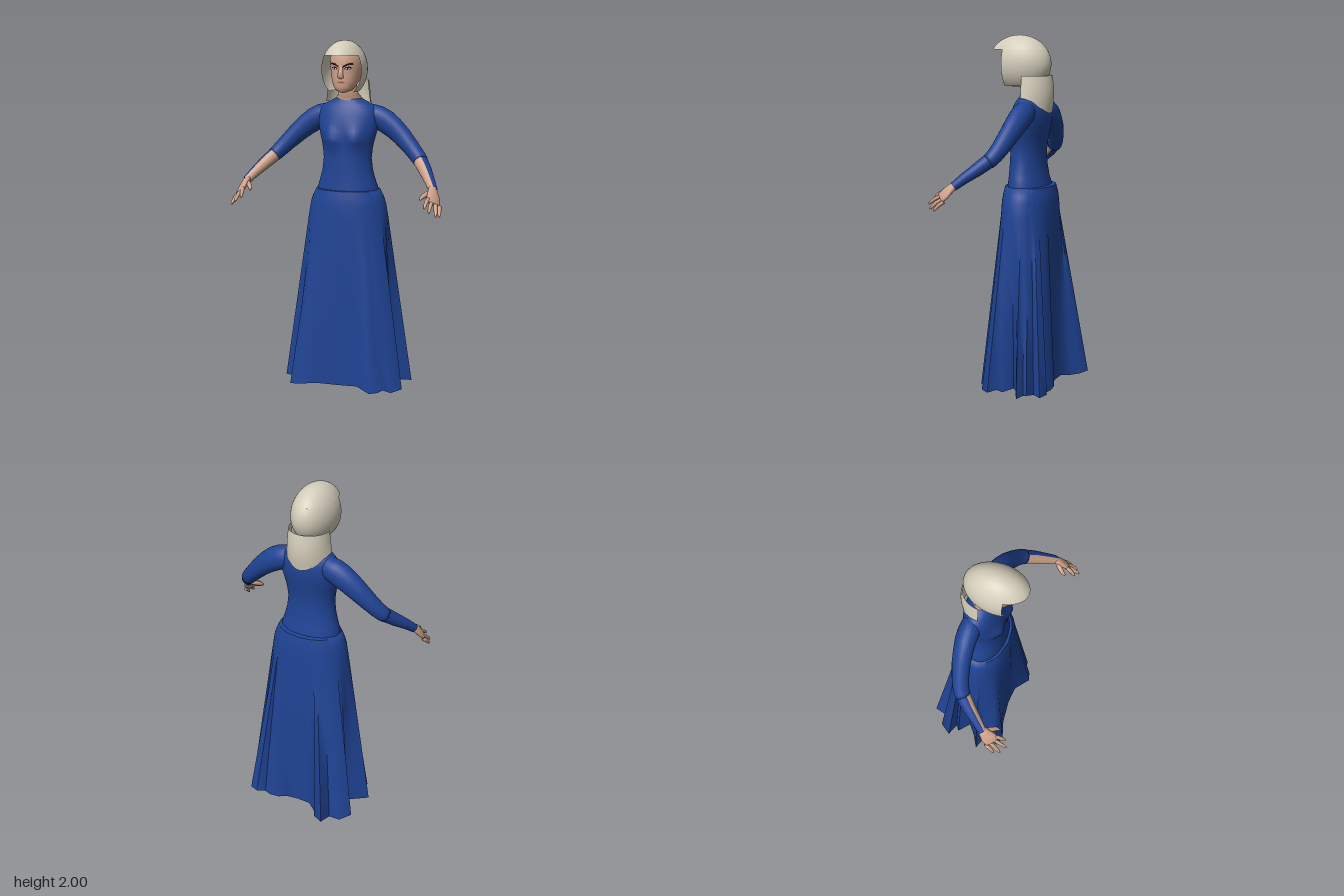
import * as THREE from 'three';
import { mergeVertices, toCreasedNormals } from 'three/addons/utils/BufferGeometryUtils.js';

const V = (x, y, z) => new THREE.Vector3(x, y, z);
const mat = (name, color, side = THREE.FrontSide) => {
  const m = new THREE.MeshStandardMaterial({ color, side });
  m.name = name;
  return m;
};
const span = (n, f) => Array.from({ length: n + 1 }, (_, i) => f(i / n));

export function createModel() {
  const root = new THREE.Group();
  root.name = 'gownedWoman';
  const blue = mat('royalBlueCloth', 0x1f4394, THREE.DoubleSide);
  const hair = mat('paleHair', 0xd3ccba, THREE.DoubleSide);
  const skin = mat('skin', 0xcfa289);
  const dark = mat('darkBrow', 0x1e1715, THREE.DoubleSide);
  const white = mat('eyeWhite', 0xd8d0c8, THREE.DoubleSide);
  const lip = mat('lips', 0x9c6656, THREE.DoubleSide);
  const brown = mat('shoeLeather', 0x3b291b);

  const add = (name, geo, material, parent = root) => {
    const m = new THREE.Mesh(geo, material);
    m.name = name;
    parent.add(m);
    return m;
  };

  // Skin a grid of points (rows of equal length) into a smooth surface
  function grid(rows, crease = 0) {
    const n = rows[0].length, index = [];
    for (let i = 0; i < rows.length - 1; i++) {
      for (let j = 0; j < n - 1; j++) {
        const a = i * n + j, b = a + 1, c = a + n, d = c + 1;
        index.push(a, b, c, b, d, c);
      }
    }
    let g = new THREE.BufferGeometry().setFromPoints(rows.flat());
    g.setIndex(index);
    g = mergeVertices(g, 1e-5);
    g.computeVertexNormals();
    return crease ? toCreasedNormals(g, crease) : g;
  }

  // Tube through [x, y, z, r, r2] stations; angle 0 faces the direction ref
  function tube(st, ref, { from = -Math.PI, to = Math.PI, seg = 16, cap = true, s = 1 } = {}) {
    const pts = st.map(p => V(p[0] * s, p[1], p[2]));
    const r = V(ref[0] * s, ref[1], ref[2]);
    const rows = pts.map((p, i) => {
      const t = pts[Math.min(i + 1, pts.length - 1)].clone().sub(pts[Math.max(i - 1, 0)]).normalize();
      const v = r.clone().addScaledVector(t, -r.dot(t)).normalize();
      const w = t.clone().cross(v);
      return span(seg, u => {
        const a = from + (to - from) * u;
        return p.clone().addScaledVector(v, Math.cos(a) * st[i][3])
          .addScaledVector(w, Math.sin(a) * (st[i][4] ?? st[i][3]));
      });
    });
    if (cap) {
      rows.unshift(rows[0].map(() => pts[0].clone()));
      rows.push(rows[0].map(() => pts[pts.length - 1].clone()));
    }
    return grid(rows);
  }

  // Upright body from [y, half width, front z, back z] rows
  function body(rows, seg = 36, warp = p => p) {
    return rows.map(([y, rx, zf, zb]) => span(seg, u => {
      const a = u * Math.PI * 2 - Math.PI;
      return warp(V(Math.sin(a) * rx, y, (zf + zb) / 2 + Math.cos(a) * (zf - zb) / 2));
    }));
  }

  // Bodice with bust
  const torso = [[1.12, .18, .08, -.15], [1.17, .178, .076, -.144], [1.21, .165, .072, -.132], [1.27, .148, .07, -.125],
    [1.34, .14, .067, -.12], [1.39, .145, .066, -.124], [1.43, .152, .066, -.13], [1.46, .16, .066, -.135],
    [1.5, .17, .064, -.143], [1.54, .176, .058, -.146], [1.58, .177, .048, -.145], [1.615, .168, .036, -.137],
    [1.64, .145, .024, -.126], [1.657, .11, .016, -.115], [1.675, .075, .008, -.105]];
  add('bodice', grid(body(torso, 48, p => {
    if (p.z > -.02) p.z += .03 * Math.exp(-(((Math.abs(p.x) - .075) / .045) ** 2) - ((p.y - 1.455) / .045) ** 2);
    return p;
  })), blue);

  // Pleated skirt: an oval waist blending into a folded hem (x, z)
  const hem = [[0, .11], [.1, .115], [.195, .18], [.24, .165], [.265, .13], [.31, .125], [.36, .065], [.31, .03], [.3, 0],
    [.23, -.04], [.28, -.075], [.37, -.12], [.32, -.14], [.325, -.165], [.265, -.18], [.315, -.24], [.26, -.26],
    [.22, -.225], [.17, -.245], [.11, -.24], [.08, -.2], [0, -.195], [-.08, -.2], [-.14, -.24], [-.165, -.285],
    [-.227, -.315], [-.24, -.235], [-.31, -.24], [-.355, -.17], [-.28, -.145], [-.31, -.12], [-.24, -.065],
    [-.29, -.02], [-.37, .03], [-.29, .06], [-.3, .15], [-.245, .168], [-.14, .13], [0, .11]];
  const skirtRow = (y, rx, rz, t) => hem.map(([x, z], j) => {
    const a = j === hem.length - 1 ? 2 * Math.PI : (Math.atan2(x / .3, (z + .045) / .2) + 2 * Math.PI) % (2 * Math.PI);
    const edge = (j % (hem.length - 1)) * 2.1;
    return V(Math.sin(a) * rx * (1 - t) + x * t, y + t * .007 * Math.sin(edge),
      (-.04 + Math.cos(a) * rz) * (1 - t) + z * t);
  });
  const skirt = [.018, .25, .5, .75].map(y => skirtRow(y, .236, .15, 1 - y));
  // Upper rows, the last one closing the waistband onto the bodice
  for (const [y, rx, rz] of [[1, .236, .15], [1.08, .222, .147], [1.12, .208, .142], [1.16, .188, .134], [1.163, .165, .1]]) {
    skirt.push(skirtRow(y, rx, rz, 0));
  }
  add('skirt', grid(skirt, 1.1), blue);

  // Head and neck
  const headRows = [[1.713, .014, .075, .04], [1.724, .042, .09, -.01], [1.745, .062, .096, -.05], [1.775, .075, .097, -.08],
    [1.81, .083, .096, -.1], [1.85, .089, .094, -.11], [1.9, .091, .097, -.11], [1.94, .07, .075, -.08], [1.965, .02, .02, -.02]];
  add('head', grid(body(headRows)), skin);
  add('neck', tube([[0, 1.63, -.05, .07], [0, 1.672, -.047, .06, .079], [0, 1.7, -.037, .052, .056], [0, 1.77, -.01, .052]], [0, 0, 1]), skin);
  add('nose', tube([[0, 1.868, .088, .006, .009], [0, 1.83, .1, .01, .013], [0, 1.807, .107, .013, .018], [0, 1.796, .096, .008, .015]],
    [0, 0, 1], { seg: 12 }), skin);

  // Thin face details laid on the curve of the face
  function faceZ(x, y) {
    const i = Math.max(0, headRows.findIndex(r => r[0] > y) - 1);
    const a = headRows[i], b = headRows[i + 1], t = (y - a[0]) / (b[0] - a[0]);
    const [rx, zf, zb] = [1, 2, 3].map(k => a[k] + (b[k] - a[k]) * t);
    return (zf + zb) / 2 + (zf - zb) / 2 * Math.sqrt(Math.max(0, 1 - (x / rx) ** 2));
  }
  function plate(name, pts, material, lift) {
    const g = new THREE.ShapeGeometry(new THREE.Shape(pts.map(p => new THREE.Vector2(...p))));
    const p = g.attributes.position;
    for (let i = 0; i < p.count; i++) p.setZ(i, faceZ(p.getX(i), p.getY(i)) + lift);
    g.computeVertexNormals();
    add(name, g, material);
  }
  for (const s of [1, -1]) {
    const flip = a => a.map(([x, y]) => [x * s, y]);
    plate('eyebrow', flip([[.013, 1.862], [.035, 1.874], [.06, 1.879], [.069, 1.868], [.04, 1.865], [.015, 1.853]]), dark, .005);
    plate('eyeLiner', flip([[.018, 1.845], [.028, 1.855], [.045, 1.858], [.061, 1.85], [.046, 1.841], [.028, 1.84]]), dark, .004);
    plate('eyeWhite', flip([[.023, 1.845], [.031, 1.85], [.045, 1.851], [.054, 1.848], [.044, 1.843], [.03, 1.842]]), white, .006);
    plate('iris', flip([[.034, 1.842], [.034, 1.852], [.043, 1.852], [.043, 1.842]]), dark, .008);
  }
  plate('mouth', [[-.028, 1.772], [-.008, 1.777], [0, 1.775], [.008, 1.777], [.028, 1.772], [.01, 1.766], [-.01, 1.766]], lip, .004);

  // Hair: full crown above the brow, sides and back open at the face
  const hairPoint = (th, ph) => V(.122 * Math.sin(th) * Math.sin(ph), 1.84 + .16 * Math.cos(th), .029 + .186 * Math.sin(th) * Math.cos(ph));
  add('hairCrown', grid(span(10, u => span(80, v => hairPoint(Math.PI / 3 * (1 - u), v * 2 * Math.PI)))), hair);
  add('hairSides', grid(span(14, u => {
    const th = 2.42 + (Math.PI / 3 - 2.42) * u;
    const open = Math.acos(.328 / Math.sin(th));
    return span(72, v => hairPoint(th, open + v * 2 * (Math.PI - open)));
  })), hair);
  // Long hair falling behind the neck to a rounded end
  add('hairBack', grid(span(8, u => span(28, v => {
    const a = Math.PI + (v - .5) * Math.PI * 1.04;
    const low = 1.655 - .085 * Math.cos(a) ** 2;
    const bulge = Math.sin(u * Math.PI) * .012;
    return V(Math.sin(a) * (.13 - .015 * u), low + (1.778 - low) * u, -.042 + Math.cos(a) * (.118 + bulge));
  }))), hair);

  // Arms, hands, legs and shoes
  const inner = [-.5, 0, .85];
  const forearm = [[.425, 1.352, -.006, .041], [.475, 1.298, .055, .036], [.515, 1.25, .115, .029], [.545, 1.21, .16, .024]];
  const tips = [[.527, 1.13, .288], [.557, 1.11, .306], [.59, 1.088, .282], [.602, 1.082, .25]];
  for (const s of [1, -1]) {
    const arm = new THREE.Group();
    arm.name = s > 0 ? 'leftArm' : 'rightArm';
    root.add(arm);
    add('sleeve', tube([[.07, 1.59, -.06, .045, .05], [.13, 1.58, -.066, .056, .064], [.17, 1.568, -.068, .058, .068],
      [.21, 1.548, -.068, .057, .068], [.26, 1.513, -.062, .053, .063], [.31, 1.47, -.053, .05, .057], [.37, 1.41, -.034, .046, .049],
      [.405, 1.373, -.018, .044, .045], [.428, 1.349, -.003, .0425], [.437, 1.339, .008, .041]],
    inner, { seg: 24, s }), blue, arm);
    add('sleeveCuff', tube(forearm, inner, { from: 1.12, to: 2 * Math.PI - 1.12, cap: false, s }), blue, arm);
    add('forearm', tube(forearm, inner, { from: -1.12, to: 1.12, cap: false, s }), skin, arm);
    const spread = [.06, -.045, -.042];
    add('palm', tube([[.537, 1.222, .148, .022, .02], [.548, 1.2, .175, .032, .018], [.556, 1.175, .2, .043, .017],
      [.564, 1.148, .226, .042, .013]], spread, { s }), skin, arm);
    tips.forEach((tip, i) => {
      const t = i / 3, b = [.535 + .056 * t, 1.17 - .044 * t, .243 - .038 * t];
      const at = (k, r) => [...b.map((c, n) => c + (tip[n] - c) * k + (n === 1 ? .006 * Math.sin(k * Math.PI) : 0)), r];
      add('finger', tube([at(-.2, .011), at(.4, .011), at(.8, .009), at(1, .004)], spread, { seg: 8, s }), skin, arm);
    });
    add('thumb', tube([[.54, 1.205, .17, .014], [.515, 1.19, .198, .014], [.497, 1.178, .222, .011], [.492, 1.168, .24, .005]],
      spread, { seg: 8, s }), skin, arm);

    add('leg', tube([[.188, .15, -.07, .035], [.165, .35, -.065, .048], [.14, .6, -.05, .052], [.095, 1.05, -.04, .075]], [0, 0, 1], { s }), skin);
    add('ankleBoot', tube([[.195, .04, -.072, .034], [.193, .1, -.07, .036], [.186, .17, -.07, .041]], [0, 0, 1], { s }), brown);
    const shoe = add('shoe', new THREE.SphereGeometry(1, 20, 14), brown);
    shoe.scale.set(.036, .037, .1);
    shoe.position.set(.2 * s, .042, -.015);
    shoe.rotation.y = .2 * s;
  }
  return root;
}
